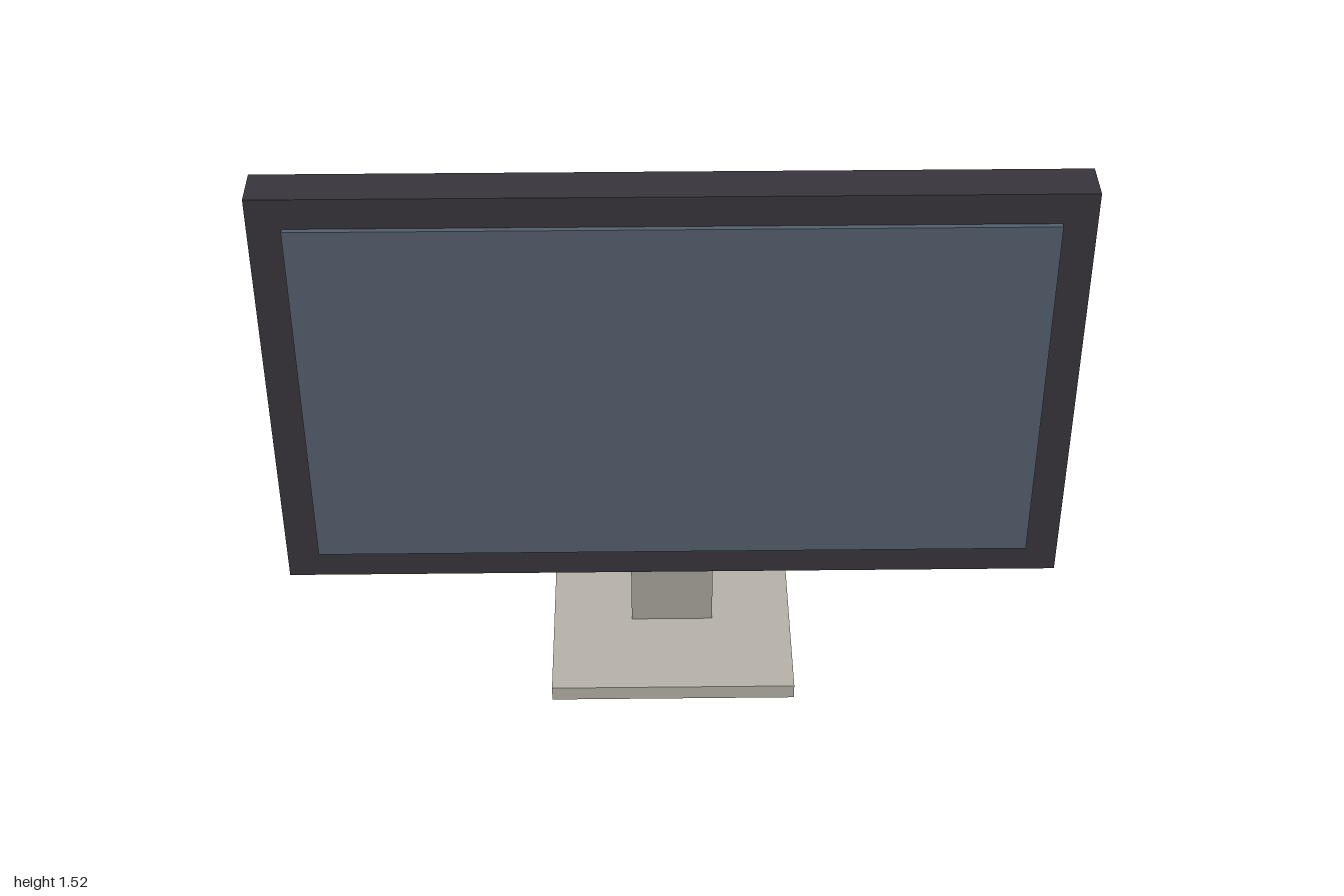
import * as THREE from 'three';

const material = (name, color) => {
  const m = new THREE.MeshStandardMaterial({ color });
  m.name = name;
  return m;
};

export function createModel() {
  const group = new THREE.Group();
  group.name = 'monitor';

  const casing = material('charcoal casing', 0x38363c);
  const glass = material('slate blue screen', 0x54606f);
  const metal = material('warm grey stand', 0xb7b2a9);

  const box = (name, mat, [w, h, d], [x, y, z]) => {
    const mesh = new THREE.Mesh(new THREE.BoxGeometry(w, h, d), mat);
    mesh.name = name;
    mesh.position.set(x, y, z);
    group.add(mesh);
    return mesh;
  };

  // Display housing and the screen standing slightly proud of it
  box('housing', casing, [2, 1.16, 0.111], [0, 0.94, 0.0975]);
  box('screen', glass, [1.834, 0.996, 0.03], [0, 0.94, 0.152]);

  // Foot plate
  box('base', metal, [0.646, 0.042, 0.514], [0, 0.021, 0]);

  // Neck leaning forward into the back of the housing
  const neck = box('neck', metal, [0.22, 0.708, 0.08], [0, 0.358, -0.014]);
  neck.rotation.x = 0.12;

  return group;
}
